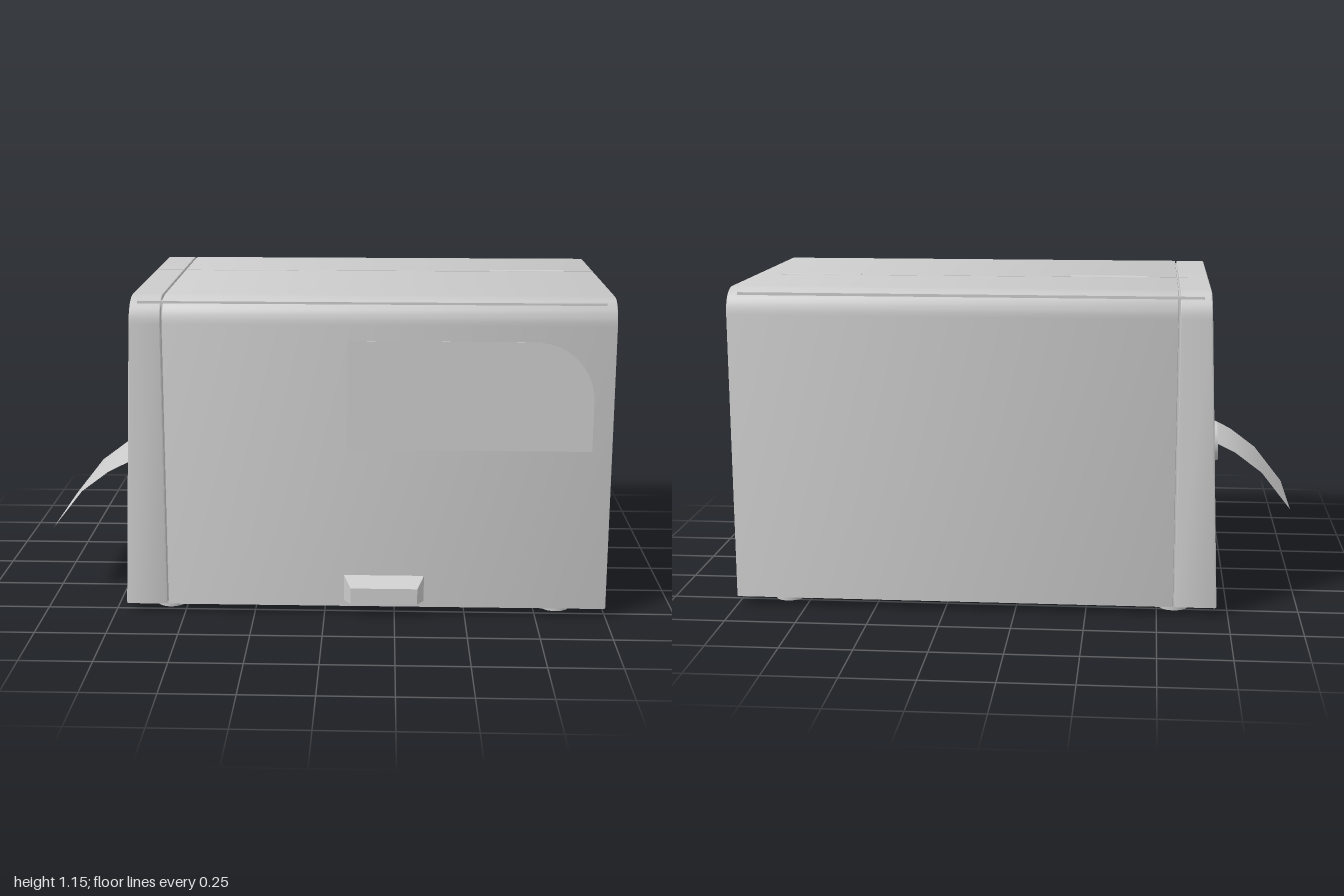
import * as THREE from 'three';
import { toCreasedNormals } from 'three/addons/utils/BufferGeometryUtils.js';

const grey = new THREE.MeshStandardMaterial({ color: 0xcccccc });
const thin = new THREE.MeshStandardMaterial({ color: 0xcccccc, side: THREE.DoubleSide });
const Y0 = 0.032, Y1 = 1.14, R = 0.09, SEAM = -0.563;
const FRONT = 0.537, BACK = -0.575, MID_F = -0.127, MID_B = -0.135;

export function createModel() {
  const model = new THREE.Group();

  function add(name, geometry, x = 0, y = 0, z = 0, material = grey) {
    const mesh = new THREE.Mesh(geometry, material);
    mesh.name = name;
    mesh.position.set(x, y, z);
    model.add(mesh);
    return mesh;
  }
  const box = (name, w, h, d, x, y, z) => add(name, new THREE.BoxGeometry(w, h, d), x, y, z);

  // Side profile of one half of the case (drawn with u = -z)
  function halfProfile(zIn, zOut) {
    const s = Math.sign(zOut);
    const p = new THREE.Shape();
    p.moveTo(-zIn, Y0);
    p.lineTo(-zOut, Y0);
    p.lineTo(-zOut, Y1 - R);
    p.bezierCurveTo(-zOut, Y1 - R * 0.4, -zOut + s * R * 0.4, Y1, -zOut + s * R, Y1);
    p.lineTo(-zIn, Y1);
    return p;
  }

  // Extrude a side profile along x from x0 to x1
  function alongX(shape, x0, x1, b = 0.005) {
    const g = new THREE.ExtrudeGeometry(shape, {
      depth: x1 - x0 - 2 * b, bevelEnabled: true, bevelThickness: b,
      bevelSize: b, bevelOffset: -b, bevelSegments: 2, curveSegments: 10,
    });
    g.rotateY(Math.PI / 2);
    g.translate(x0 + b, 0, 0);
    return g;
  }

  // Lean the outer face of the end caps inward towards the top
  const lean = (y) => 1 - 0.27 * (y - Y0) / (Y1 - Y0);
  function slope(g) {
    const p = g.attributes.position;
    for (let i = 0; i < p.count; i++) {
      p.setX(i, SEAM + (p.getX(i) - SEAM) * lean(p.getY(i)));
    }
    return g;
  }
  const faceX = (y) => SEAM - 0.147 * lean(y);

  // Main case: hinged front cover and rear housing
  const cover = halfProfile(MID_F, FRONT);
  const rear = halfProfile(MID_B, BACK);
  add('frontCover', toCreasedNormals(alongX(cover, SEAM + 0.005, 1), 0.5));
  add('rearHousing', toCreasedNormals(alongX(rear, SEAM + 0.005, 1), 0.5));
  // Recessed core seen in the seams
  box('seamCore', 1.61, 1.08, 1.06, 0.16, 0.585, -0.02);

  // End caps; the front one is cut away around the paper outlet
  const capFront = halfProfile(MID_F, FRONT);
  capFront.lineTo(-MID_F, 0.68);
  capFront.lineTo(-0.37, 0.68);
  capFront.quadraticCurveTo(-0.44, 0.68, -0.44, 0.61);
  capFront.lineTo(-0.44, 0.13);
  capFront.quadraticCurveTo(-0.44, 0.1, -0.41, 0.1);
  capFront.lineTo(-MID_F, 0.1);
  add('frontEndCap', toCreasedNormals(slope(alongX(capFront, -0.71, SEAM)), 0.5));
  add('rearEndCap', toCreasedNormals(slope(alongX(rear, -0.71, SEAM)), 0.5));

  // Paper outlet: print bar, guide rail, ribs and sloping ledge
  box('printBar', 0.07, 0.05, 0.5, -0.615, 0.635, 0.155);
  box('guideRail', 0.09, 0.025, 0.5, -0.625, 0.565, 0.155);
  for (const z of [-0.09, 0.02, 0.13, 0.24, 0.35]) {
    box('outletRib', 0.03, 0.2, 0.015, -0.575, 0.4, z);
  }
  const ledge = new THREE.Shape([[-0.565, 0.09], [-0.7, 0.09], [-0.7, 0.1], [-0.565, 0.19]]
    .map(([x, y]) => new THREE.Vector2(x, y)));
  add('outletLedge', new THREE.ExtrudeGeometry(ledge, { depth: 0.56, bevelEnabled: false }), 0, 0, -0.122);

  // Paper strip drooping out of the outlet
  const path = [[-0.57, 0.535], [-0.69, 0.525], [-0.79, 0.475], [-0.89, 0.4], [-1, 0.26]];
  const paper = new THREE.PlaneGeometry(1, 0.44, path.length - 1, 1);
  paper.rotateX(-Math.PI / 2);
  const pp = paper.attributes.position;
  for (let i = 0; i < pp.count; i++) {
    const [x, y] = path[path.length - 1 - (i % path.length)];
    pp.setXYZ(i, x, y, pp.getZ(i) + 0.15);
  }
  paper.computeVertexNormals();
  add('paperStrip', paper, 0, 0, 0, thin);

  // Release knob with collar
  const tilt = Math.atan(0.04 / 1.11);
  const knob = add('releaseKnob', new THREE.CylinderGeometry(0.07, 0.075, 0.04, 32), faceX(0.565), 0.565, -0.27);
  knob.rotation.z = Math.PI / 2 - tilt;
  const collar = add('knobCollar', new THREE.TorusGeometry(0.083, 0.007, 8, 40), faceX(0.565), 0.565, -0.27);
  collar.rotation.set(0, Math.PI / 2, tilt, 'ZYX');
  collar.rotation.z = -tilt;

  // Window set almost flush in the front cover
  const win = new THREE.Shape();
  win.moveTo(0.08, 0.61);
  win.lineTo(0.93, 0.61);
  win.lineTo(0.93, 0.79);
  win.bezierCurveTo(0.93, 0.9, 0.84, 0.995, 0.72, 0.995);
  win.lineTo(0.08, 0.995);
  add('window', new THREE.ExtrudeGeometry(win, { depth: 0.002, bevelEnabled: false, curveSegments: 12 }), 0, 0, FRONT - 0.001);

  // Tapered pull handle: a box with its outer face shrunk
  const pull = new THREE.BoxGeometry(0.285, 0.095, 0.04);
  const hp = pull.attributes.position;
  for (let i = 0; i < hp.count; i++) {
    if (hp.getZ(i) > 0) {
      hp.setX(i, hp.getX(i) * 0.83);
      if (hp.getY(i) > 0) hp.setY(i, 0.01);
    }
  }
  pull.computeVertexNormals();
  add('pullHandle', pull, 0.212, 0.102, FRONT + 0.019);

  // Hinge barrels on the top seam
  for (const x of [-0.31, 0.745]) {
    const hinge = add('hinge', new THREE.CylinderGeometry(0.008, 0.008, 0.28, 12), x, 1.138, -0.131);
    hinge.rotation.z = Math.PI / 2;
  }

  // Feet
  for (const x of [-0.56, 0.83]) {
    for (const z of [0.428, -0.464]) {
      add('foot', new THREE.CylinderGeometry(0.055, 0.052, 0.04, 32), x, 0.02, z);
    }
  }
  return model;
}
